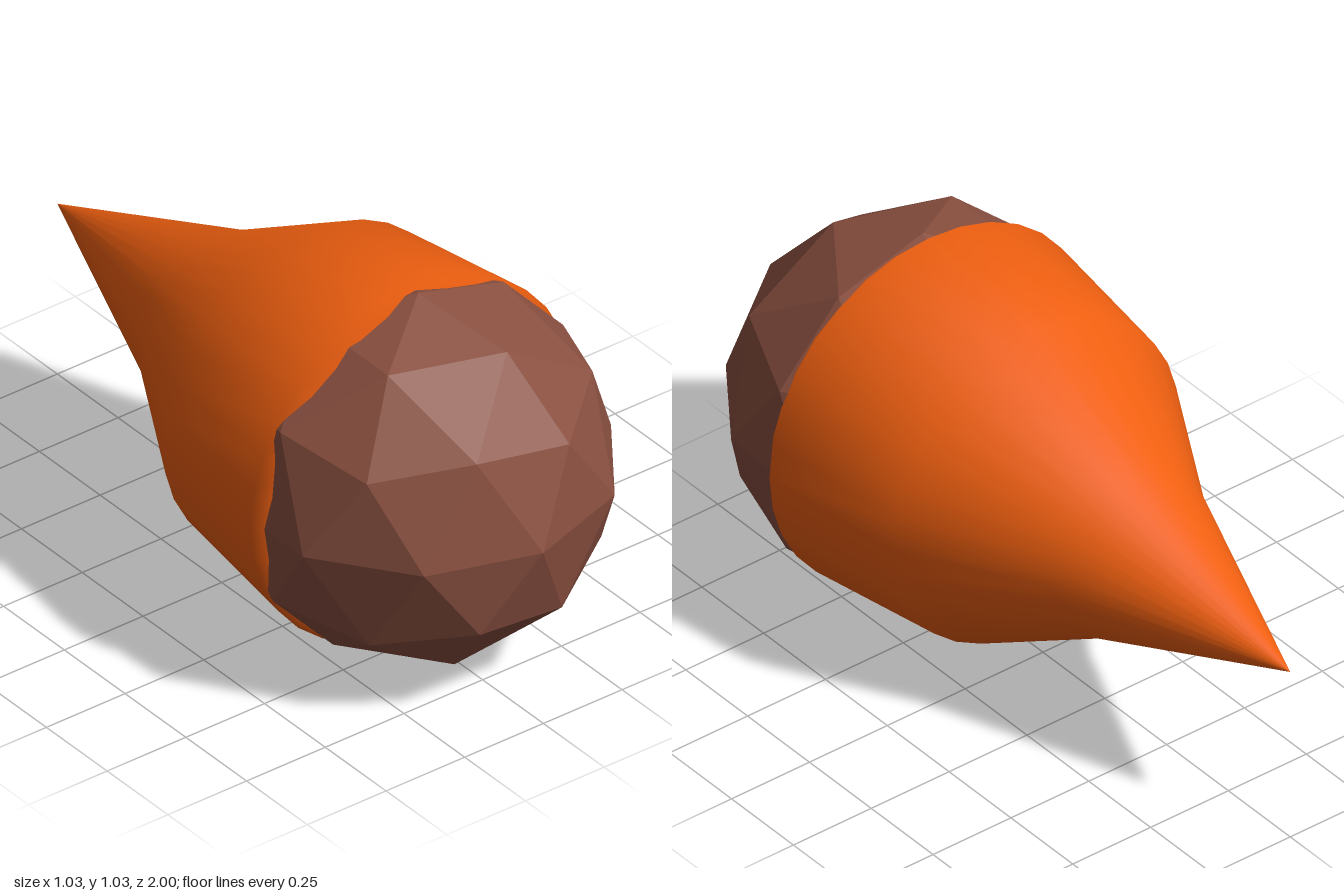
import * as THREE from 'three';

const RADIUS = 0.515;

export function createModel() {
  const model = new THREE.Group();

  // Faceted rock at the front, turned so one corner points straight up
  const rock = new THREE.Mesh(
    new THREE.IcosahedronGeometry(RADIUS, 1),
    new THREE.MeshStandardMaterial({ color: 0x8a5040, flatShading: true })
  );
  rock.name = 'rock';
  rock.rotation.z = -Math.atan(2 / (1 + Math.sqrt(5)));
  rock.position.set(0, RADIUS, 0.485);
  model.add(rock);

  // Smooth flame trail: [radius, z] from the tail tip to the closed end inside the rock
  const profile = [
    [0, -1], [0.24, -0.36], [0.46, 0.03], [0.513, 0.46], [0.46, 0.52], [0, 0.55],
  ].map(([r, z]) => new THREE.Vector2(r, z));
  const flame = new THREE.Mesh(
    new THREE.LatheGeometry(profile, 32).rotateX(Math.PI / 2),
    new THREE.MeshStandardMaterial({ color: 0xef5f10 })
  );
  flame.name = 'flameTrail';
  flame.position.y = RADIUS;
  model.add(flame);

  return model;
}
